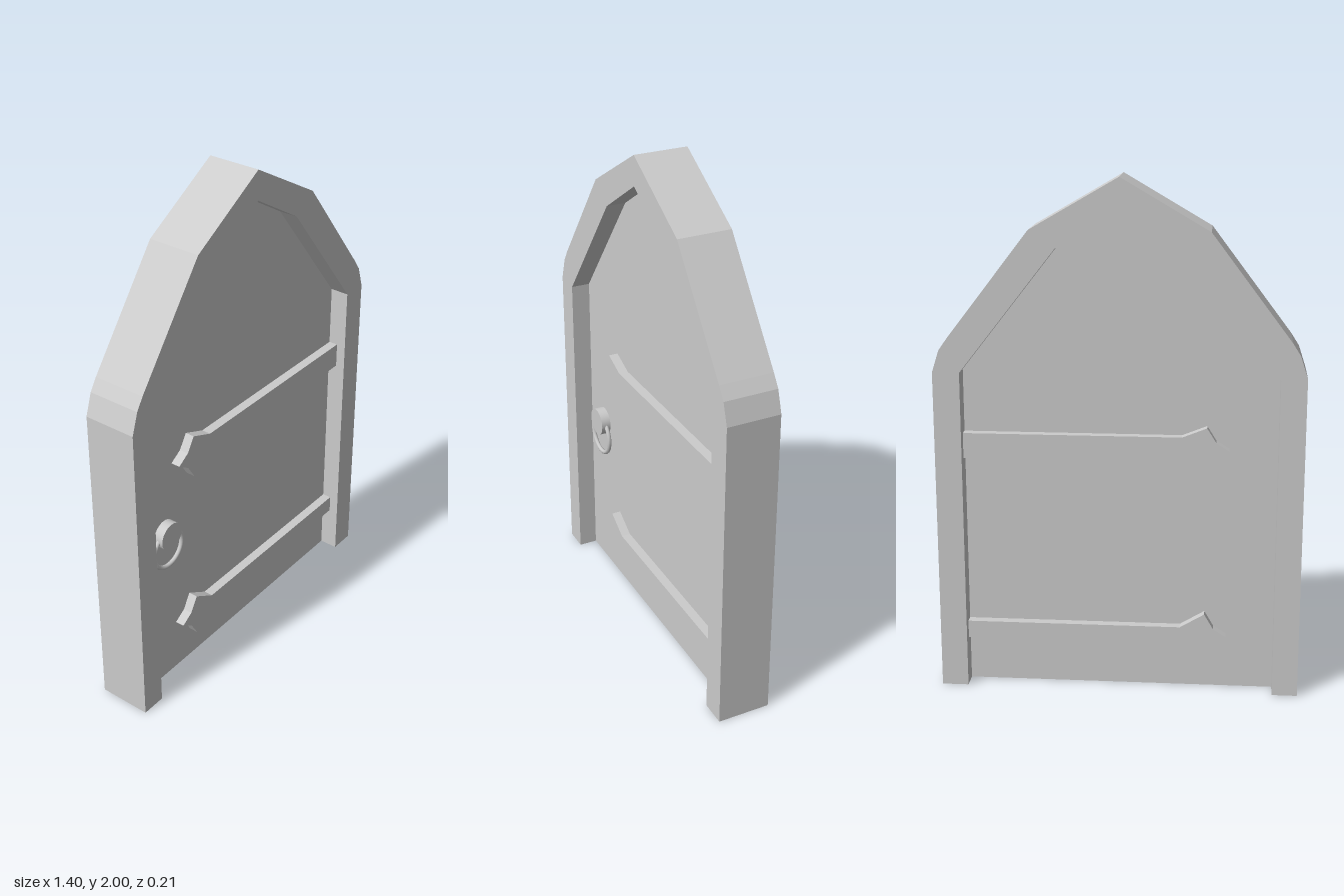
import * as THREE from 'three';

const material = new THREE.MeshStandardMaterial({ color: 0xcccccc, flatShading: true });
const smooth = new THREE.MeshStandardMaterial({ color: 0xcccccc });

// Flat outline extruded from z0 to z1
function slab(name, points, z0, z1) {
  const shape = new THREE.Shape(points.map(([x, y]) => new THREE.Vector2(x, y)));
  const geometry = new THREE.ExtrudeGeometry(shape, { depth: z1 - z0, bevelEnabled: false });
  geometry.translate(0, 0, z0);
  const mesh = new THREE.Mesh(geometry, material);
  mesh.name = name;
  return mesh;
}

// Strap hinge with an arrow-shaped tip, on the door face given by side (+1 front, -1 back)
function strap(name, y, halfWidth, headHalf, side) {
  const upper = [[0.6, halfWidth], [-0.24, halfWidth], [-0.335, headHalf], [-0.37, 0.032]];
  const lower = upper.map(([x, h]) => [x, -h]).reverse();
  const points = [...upper, [-0.42, 0], ...lower].map(([x, h]) => [x, y + h]);
  const [z0, z1] = side > 0 ? [0.025, 0.067] : [-0.067, -0.025];
  return slab(name, points, z0, z1);
}

export function createModel() {
  const door = new THREE.Group();
  door.name = 'archedDoor';

  // Pointed-arch frame, open at the bottom
  const outer = [[-0.703, 0], [-0.703, 1.27], [-0.675, 1.355], [-0.645, 1.402], [-0.34, 1.805],
    [-0.006, 2], [0.328, 1.807], [0.64, 1.402], [0.673, 1.355], [0.7, 1.27], [0.7, 0]];
  const inner = [[-0.605, 0], [-0.605, 1.262], [-0.243, 1.732], [-0.006, 1.885],
    [0.23, 1.74], [0.597, 1.27], [0.597, 0]];
  door.add(slab('frame', [...outer, ...inner.slice().reverse()], -0.105, 0.105));

  // Recessed door panel
  door.add(slab('panel', inner, -0.03, 0.03));

  // Strap hinges on both faces
  for (const [label, side] of [['front', 1], ['back', -1]]) {
    door.add(strap(label + 'UpperHinge', 0.977, 0.05, 0.088, side));
    door.add(strap(label + 'LowerHinge', 0.222, 0.035, 0.092, side));
  }

  // Round knob and the ring hanging from it, front only
  const handle = new THREE.Group();
  handle.name = 'handle';
  const knob = new THREE.Mesh(new THREE.CylinderGeometry(0.056, 0.056, 0.042, 32), smooth);
  knob.name = 'knob';
  knob.rotation.x = Math.PI / 2;
  knob.position.set(-0.473, 0.692, 0.047);
  const ring = new THREE.Mesh(new THREE.TorusGeometry(0.079, 0.009, 8, 40), smooth);
  ring.name = 'pullRing';
  ring.position.set(-0.473, 0.628, 0.047);
  handle.add(knob, ring);
  door.add(handle);

  return door;
}
